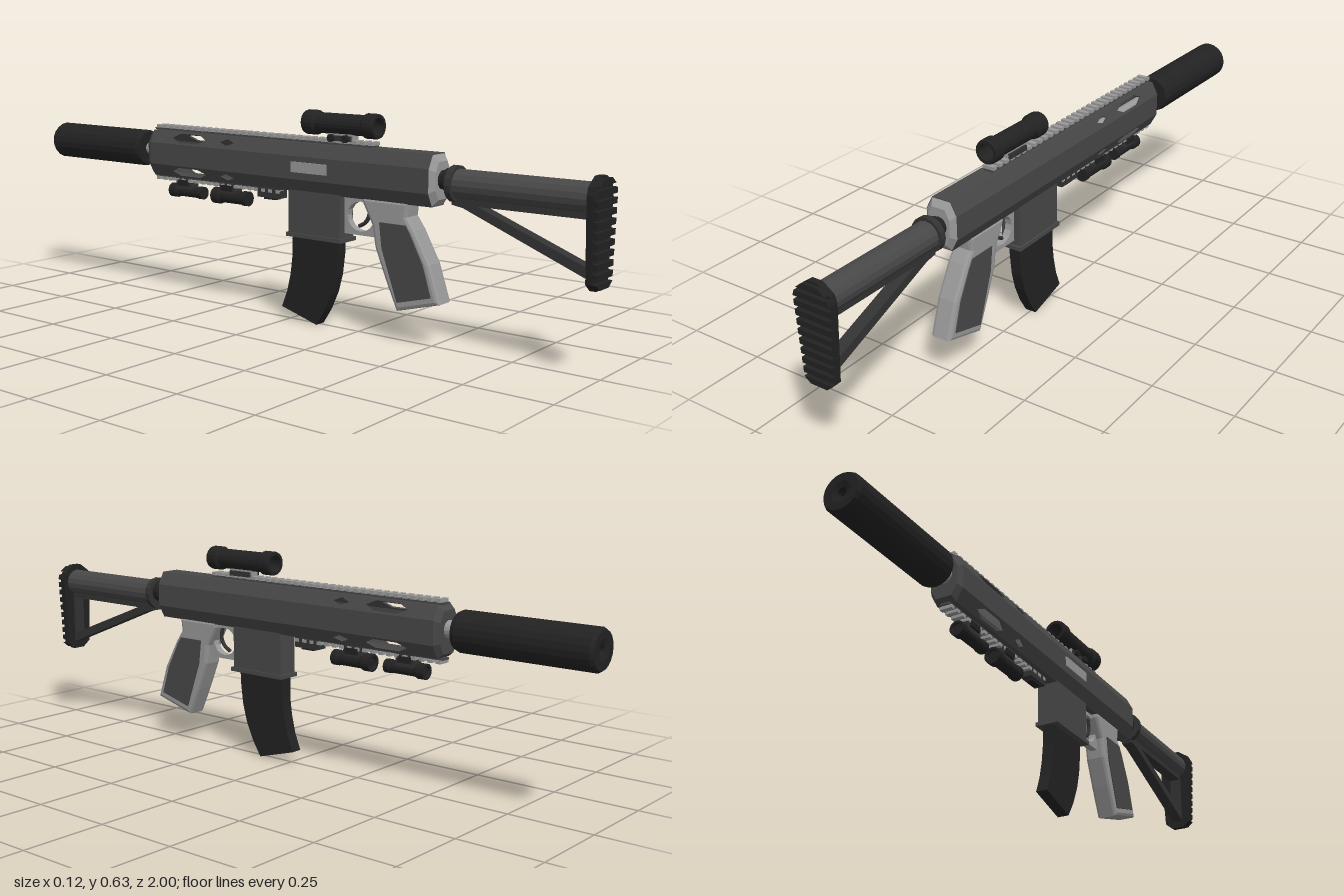
import * as THREE from 'three';

const mat = (color) => new THREE.MeshStandardMaterial({ color, flatShading: true, side: THREE.DoubleSide });

export function createModel() {
  const model = new THREE.Group();
  const black = mat(0x222222), dark = mat(0x333333), body = mat(0x484848), light = mat(0x999999);

  const add = (name, geo, material, parent = model) => {
    const mesh = new THREE.Mesh(geo, material);
    mesh.name = name;
    parent.add(mesh);
    return mesh;
  };
  const group = (name) => {
    const g = new THREE.Group();
    g.name = name;
    model.add(g);
    return g;
  };
  const toShape = (pts) => new THREE.Shape(pts.map(([a, b]) => new THREE.Vector2(a, b)));

  // Side profile of [z, y] points, given a width across x
  const slab = (shape, width, bevel = 0, x = 0) => {
    const geo = new THREE.ExtrudeGeometry(Array.isArray(shape) ? toShape(shape) : shape, {
      depth: width - 2 * bevel, bevelEnabled: bevel > 0, bevelSize: bevel, bevelThickness: bevel,
      bevelOffset: -bevel, bevelSegments: 2, curveSegments: 8,
    });
    return geo.translate(0, 0, bevel - width / 2).rotateY(-Math.PI / 2).translate(x, 0, 0);
  };
  // Turned part along z from [radius, z] points with z rising
  const turned = (pts, y, x = 0, sides = 16) =>
    new THREE.LatheGeometry(pts.map(([r, z]) => new THREE.Vector2(r, z)), sides)
      .rotateX(Math.PI / 2).translate(x, y, 0);
  const rod = (r, z0, z1, y, sides = 16) => turned([[0, z0], [r, z0], [r, z1], [0, z1]], y, 0, sides);
  const box = (w, y0, y1, z0, z1, x = 0) =>
    new THREE.BoxGeometry(w, y1 - y0, z1 - z0).translate(x, (y0 + y1) / 2, (z0 + z1) / 2);

  // Eight-sided section shared by receiver and handguard
  const axisY = 0.468;
  const section = [[-0.03, -0.072], [0.03, -0.072], [0.05, -0.034], [0.05, 0.034],
    [0.03, 0.072], [-0.03, 0.072], [-0.05, 0.034], [-0.05, -0.034]];
  // Solid through [z, scale] rings, z falling
  const loft = (rings) => {
    const pos = [], index = [], n = section.length, last = (rings.length - 1) * n;
    for (const [z, s] of rings) for (const [x, y] of section) pos.push(x * s, axisY + y * s, z);
    for (let i = 0; i < rings.length - 1; i++) for (let j = 0; j < n; j++) {
      const a = i * n + j, b = i * n + (j + 1) % n;
      index.push(a, a + n, b, b, a + n, b + n);
    }
    for (let j = 1; j < n - 1; j++) index.push(0, j, j + 1, last, last + j + 1, last + j);
    const geo = new THREE.BufferGeometry();
    geo.setAttribute('position', new THREE.Float32BufferAttribute(pos, 3));
    geo.setIndex(index);
    geo.computeVertexNormals();
    return geo;
  };

  // Receiver
  add('receiver', loft([[0.51, 1], [-0.13, 1]]), body);
  add('receiverEndCap', loft([[0.525, 0.72], [0.51, 0.97]]), light);
  add('sidePort', box(0.006, 0.455, 0.486, 0.04, 0.17, -0.05), light);

  // Hollow handguard, one panel per side with openings in the slanted ones
  const handguard = group('handguard');
  const guardStart = -0.13, guardLength = 0.405, thick = 0.006;
  section.forEach(([ax, ay], i) => {
    const [bx, by] = section[(i + 1) % section.length];
    const w = Math.hypot(bx - ax, by - ay), m = w / 2, h = 0.015;
    const shape = toShape([[0, 0], [guardLength, 0], [guardLength, w], [0, w]]);
    if (i % 2) shape.holes.push(
      toShape([[0.06, m], [0.0875, m + h * 0.75], [0.115, m], [0.0875, m - h * 0.75]]),
      toShape([[0.175, m], [0.205, m + h], [0.285, m + h], [0.315, m], [0.285, m - h], [0.205, m - h]]));
    const U = new THREE.Vector3(0, 0, -1), V = new THREE.Vector3(bx - ax, by - ay, 0).normalize();
    const W = U.clone().cross(V);
    const place = new THREE.Matrix4().makeBasis(U, V, W)
      .setPosition(ax - W.x * thick, ay + axisY - W.y * thick, guardStart);
    add('handguardPanel', new THREE.ExtrudeGeometry(shape, { depth: thick, bevelEnabled: false })
      .applyMatrix4(place), body, handguard);
  });
  add('handguardCap', loft([[-0.535, 1], [-0.552, 0.82]]), body, handguard);

  // Toothed rails above and below
  const rail = (name, y, dir, zStart, zEnd) => {
    const g = group(name);
    const mid = y + dir * 0.006, top = y + dir * 0.016;
    add('railBase', box(0.03, Math.min(y, mid), Math.max(y, mid), zEnd, zStart), body, g);
    for (let z = zStart; z > zEnd + 0.012; z -= 0.0275)
      add('railTooth', box(0.038, Math.min(mid, top), Math.max(mid, top), z - 0.015, z), light, g);
  };
  rail('topRail', 0.54, 1, 0.305, -0.545);
  rail('bottomRail', 0.396, -1, -0.03, -0.545);

  // Barrel and muzzle tube
  const muzzleY = 0.475;
  add('barrel', rod(0.018, -0.62, -0.13, muzzleY), light);
  add('barrelCollar', rod(0.025, -0.575, -0.55, muzzleY), light);
  add('muzzleTube', turned([[0, -0.97], [0.014, -0.97], [0.014, -0.995], [0.03, -1], [0.052, -1], [0.058, -0.99],
    [0.058, -0.60], [0.053, -0.588], [0, -0.588]], muzzleY, 0, 20), black);

  // Open sight tube and its mount
  const scope = group('scope');
  add('scopeTube', turned([[0.025, 0.063], [0.034, 0.063], [0.036, 0.07], [0.036, 0.10], [0.030, 0.107],
    [0.030, 0.27], [0.036, 0.277], [0.036, 0.307], [0.034, 0.314], [0.025, 0.314], [0.025, 0.063]], 0.599, 0, 20), black, scope);
  add('scopeMount', box(0.026, 0.545, 0.575, 0.145, 0.235), light, scope);
  add('scopeClamp', box(0.04, 0.552, 0.567, 0.15, 0.23), dark, scope);
  for (const z of [0.165, 0.215])
    add('clampKnob', new THREE.CylinderGeometry(0.011, 0.011, 0.012, 10).rotateZ(Math.PI / 2)
      .translate(-0.024, 0.56, z), black, scope);

  // Magazine well and curved magazine
  add('magazineWell', box(0.064, 0.27, 0.41, 0.016, 0.204), body);
  add('magazineWellLip', box(0.074, 0.261, 0.273, 0.01, 0.211), body);
  add('magazine', slab([[0.19, 0.275], [0.188, 0.225], [0.18, 0.16], [0.165, 0.105], [0.14, 0.05], [0.11, 0.003],
    [-0.02, 0.04], [0.0, 0.09], [0.013, 0.145], [0.02, 0.20], [0.02, 0.275]], 0.036), black);

  // Grip with inset side panels
  const grip = group('grip');
  add('gripBody', slab([[0.435, 0.402], [0.28, 0.402], [0.282, 0.385], [0.315, 0.325], [0.325, 0.265], [0.36, 0.18],
    [0.40, 0.092], [0.54, 0.13], [0.505, 0.235], [0.455, 0.325], [0.43, 0.36]], 0.066, 0.01), light, grip);
  add('gripPanel', slab([[0.43, 0.338], [0.343, 0.338], [0.352, 0.265], [0.405, 0.118], [0.515, 0.147],
    [0.487, 0.235], [0.445, 0.315]], 0.072), body, grip);

  // Trigger guard and trigger
  const guardShape = toShape([[0.335, 0.402], [0.205, 0.402], [0.205, 0.288], [0.315, 0.288], [0.335, 0.31]]);
  guardShape.holes.push(new THREE.Path().absellipse(0.262, 0.342, 0.046, 0.043, 0, Math.PI * 2));
  add('triggerGuard', slab(guardShape, 0.022), light);
  add('trigger', new THREE.TubeGeometry(new THREE.CatmullRomCurve3([[0.275, 0.40], [0.285, 0.35], [0.272, 0.325], [0.25, 0.312]]
    .map(([z, y]) => new THREE.Vector3(0, y, z))), 10, 0.006, 6), dark);

  // Stock tube, collars and open strut
  const stock = group('stock');
  add('stockJoint', turned([[0, 0.505], [0.026, 0.505], [0.026, 0.535], [0.033, 0.54], [0.033, 0.57], [0, 0.57]], muzzleY - 0.005), black, stock);
  add('stockCollar', rod(0.05, 0.558, 0.576, 0.463), dark, stock);
  add('stockTube', rod(0.041, 0.57, 0.98, 0.463), body, stock);
  const strut = toShape([[0.98, 0.425], [0.565, 0.425], [0.565, 0.408], [0.6, 0.402], [0.98, 0.252]]);
  strut.holes.push(toShape([[0.962, 0.41], [0.645, 0.41], [0.962, 0.288]]));
  add('stockStrut', slab(strut, 0.036), dark, stock);

  // Ribbed shoulder pad
  const halfWidth = (y) => {
    const keys = [[0.232, 0.02], [0.252, 0.045], [0.475, 0.057], [0.497, 0.05], [0.521, 0.016]];
    for (let i = 1; i < keys.length; i++) {
      const [y0, w0] = keys[i - 1], [y1, w1] = keys[i];
      if (y <= y1) return w0 + (w1 - w0) * (y - y0) / (y1 - y0);
    }
    return 0.016;
  };
  const padSlice = (y0, y1, z0, z1) => {
    const levels = [y0, ...[0.252, 0.475, 0.497].filter((y) => y > y0 && y < y1), y1];
    const side = levels.map((y) => [halfWidth(y), y]);
    const shape = toShape([...side, ...side.slice().reverse().map(([x, y]) => [-x, y])]);
    return new THREE.ExtrudeGeometry(shape, { depth: z1 - z0, bevelEnabled: false }).translate(0, 0, z0);
  };
  add('shoulderPad', padSlice(0.232, 0.521, 0.97, 0.988), black, stock);
  const ribs = 11, pitch = 0.289 / ribs;
  for (let i = 0; i < ribs; i++) {
    const y = 0.232 + (i + 0.2) * pitch;
    add('padRib', padSlice(y, y + pitch * 0.6, 0.987, 1), black, stock);
  }

  // Accessories hung under the handguard
  add('railStop', box(0.036, 0.364, 0.392, -0.115, -0.03), dark);
  add('railStopFoot', box(0.024, 0.358, 0.366, -0.095, -0.05), black);
  const lamp = (name, z, length, y, r) => {
    const g = group(name), end = z - length;
    add('lampBody', turned([[0, end + 0.006], [r * 0.7, end + 0.006], [r * 0.8, end], [r * 1.12, end], [r * 1.12, end + 0.025],
      [r * 0.9, end + 0.035], [r * 0.9, z - 0.022], [r, z - 0.018], [r, z], [0, z]], y), black, g);
    add('lampMount', box(0.032, y, 0.392, z - length * 0.78, z - length * 0.3), dark, g);
    add('lampClamp', box(0.046, 0.368, 0.386, z - length * 0.7, z - length * 0.38), black, g);
  };
  lamp('rearLamp', -0.165, 0.137, 0.349, 0.023);
  lamp('frontLamp', -0.35, 0.135, 0.349, 0.02);

  return model;
}
